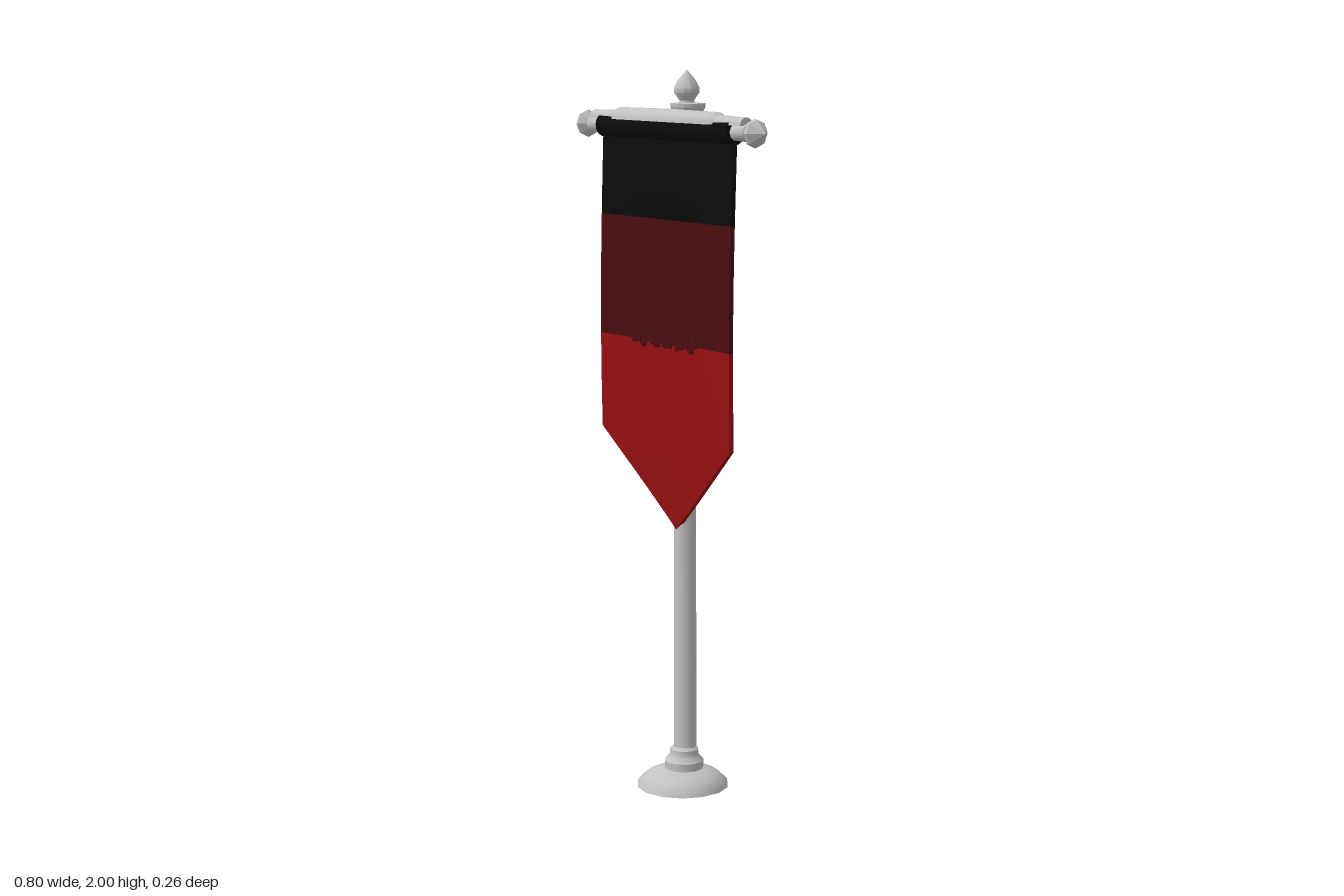
import * as THREE from 'three';
import { toCreasedNormals } from 'three/addons/utils/BufferGeometryUtils.js';

const mat = (name, color, side = THREE.FrontSide) => new THREE.MeshStandardMaterial({ name, color, side });

// Lathe from [radius, height] pairs, with hard edges kept sharp
function turned(points, sides, crease = 0.7, start = 0, sweep = Math.PI * 2) {
  const profile = points.map(([r, y]) => new THREE.Vector2(r, y));
  return toCreasedNormals(new THREE.LatheGeometry(profile, sides, start, sweep), crease);
}

// Depth of the hanging cloth: bellies forward, its lower middle swings back to the pole
function clothZ(x, y) {
  const s = Math.min(1, Math.max(0, (1.83 - y) / 1.09));
  return 0.05 + 0.012 * Math.sin(Math.PI * s) - 0.033 * s * s * (1 - (x / 0.28) ** 2);
}

const HALF = 0.28, BAR_Y = 1.845, BAR_Z = 0.05;

export function createModel() {
  const model = new THREE.Group();
  model.name = 'bannerStand';
  const metal = mat('paleGrey', 0xc2c2c2, THREE.DoubleSide);
  const black = mat('black', 0x0b0b0b);
  const darkRed = mat('darkRed', 0x4a0d0f);
  const red = mat('red', 0x981012);

  const add = (name, geometry, material, x = 0, y = 0, z = 0) => {
    const mesh = new THREE.Mesh(geometry, material);
    mesh.name = name;
    mesh.position.set(x, y, z);
    model.add(mesh);
    return mesh;
  };

  // Domed foot and its collar
  add('base', turned([[0, 0], [0.13, 0], [0.128, 0.008], [0.105, 0.032], [0.075, 0.046], [0.03, 0.053]], 14), metal);
  add('baseCollar', turned([[0.03, 0.045], [0.055, 0.05], [0.055, 0.072], [0.041, 0.088], [0.04, 0.105], [0.03, 0.113]], 12),
    metal, 0, 0, -0.005);

  // Pole, top collar and pointed finial
  add('pole', turned([[0.032, 0.05], [0.029, 1.9], [0, 1.9]], 12), metal, 0, 0, -0.009);
  const collar = add('topCollar', turned([[0.029, 1.875], [0.036, 1.88], [0.046, 1.9], [0.046, 1.91], [0, 1.914]], 10),
    metal, 0, 0, -0.018);
  collar.scale.x = 1.1;
  add('poleFinial', turned([[0.022, 1.905], [0.02, 1.918], [0.034, 1.938], [0.035, 1.95], [0.024, 1.972], [0, 2]], 10),
    metal, 0, 0, -0.014);

  // Bracket joining pole and crossbar
  const bracket = add('bracket', turned([[0.03, -0.02], [0.03, 0.035], [0.022, 0.05]], 10), metal, 0, BAR_Y, 0);
  bracket.rotation.x = Math.PI / 2;

  // Crossbar with a pointed finial at each end
  const bar = add('crossbar', new THREE.CylinderGeometry(0.018, 0.018, 0.7, 10), metal, 0, BAR_Y, BAR_Z);
  bar.rotation.z = Math.PI / 2;
  for (const side of [1, -1]) {
    const sleeve = add('barSleeve', turned([[0.018, 0.28], [0.022, 0.283], [0.024, 0.335], [0.018, 0.34]], 10), metal, 0, BAR_Y, BAR_Z);
    sleeve.rotation.z = -side * Math.PI / 2;
    const tip = add('barFinial', turned([[0, 0.336], [0.018, 0.338], [0.038, 0.358], [0.036, 0.367], [0, 0.402]], 8, 0.3),
      metal, 0, BAR_Y, BAR_Z);
    tip.rotation.z = -side * Math.PI / 2;
  }

  // Half-round cap rail lying along the top of the cloth
  const rail = add('capRail', turned([[0, -0.328], [0.022, -0.325], [0.025, -0.22], [0.032, -0.21], [0.034, 0],
    [0.032, 0.21], [0.025, 0.22], [0.022, 0.325], [0, 0.328]], 10, 0.6, Math.PI, Math.PI), metal, 0, 1.863, BAR_Z);
  rail.rotation.z = -Math.PI / 2;
  if (new THREE.Vector3(-1, 0, 0).applyEuler(rail.rotation).y < 0) rail.rotation.z = Math.PI / 2;

  // Cloth loop around the crossbar
  const loop = add('clothLoop', new THREE.CylinderGeometry(0.034, 0.034, HALF * 2, 16), black, 0, BAR_Y, BAR_Z);
  loop.rotation.z = Math.PI / 2;

  // Cloth bands; the lowest one is cut to a point
  const band = (name, top, bottom, point, material) => {
    const geo = new THREE.BoxGeometry(HALF * 2, 1, 0.014, 20, 10, 1);
    const p = geo.attributes.position;
    for (let i = 0; i < p.count; i++) {
      const x = p.getX(i);
      const low = bottom - point * (1 - Math.abs(x) / HALF);
      const y = THREE.MathUtils.lerp(low, top, p.getY(i) + 0.5);
      p.setXYZ(i, x, y, p.getZ(i) + clothZ(x, y));
    }
    geo.computeVertexNormals();
    add(name, geo, material);
  };
  band('blackBand', 1.84, 1.6, 0, black);
  band('darkRedBand', 1.6, 1.265, 0, darkRed);
  band('redBand', 1.265, 1, 0.26, red);

  // Ragged stitched scraps in low relief on the middle band
  for (let i = 0; i < 15; i++) {
    const x = -0.13 + 0.26 * i / 14;
    const y = 1.268 + 0.008 * Math.sin(i * 2.3);
    add('stitchedScrap', new THREE.BoxGeometry(0.02, 0.026, 0.008), darkRed, x, y, clothZ(x, y) + 0.008)
      .rotation.z = Math.sin(i * 5.1) * 0.5;
  }

  return model;
}
